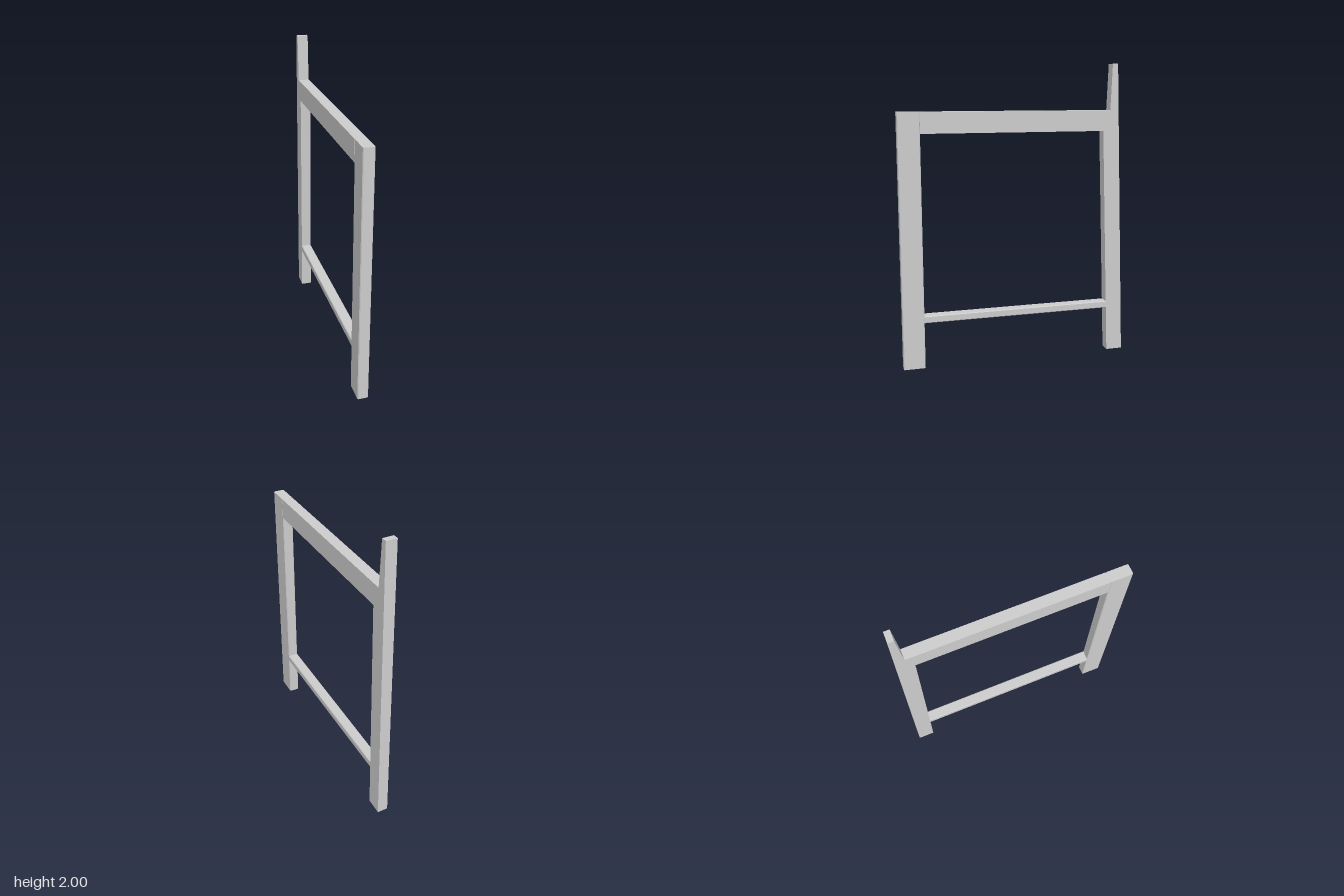
import * as THREE from 'three';

const HALF = 0.036; // half thickness of the whole frame

const material = new THREE.MeshStandardMaterial({ color: 0xcccccc, flatShading: true });

function addPart(group, name, geometry) {
  const mesh = new THREE.Mesh(geometry, material);
  mesh.name = name;
  group.add(mesh);
  return mesh;
}

// Rectangle centred on the origin with small chamfered corners
function chamferedRect(w, h, c) {
  const x = w / 2, y = h / 2;
  return new THREE.Shape([
    [-x + c, -y], [x - c, -y], [x, -y + c], [x, y - c],
    [x - c, y], [-x + c, y], [-x, y - c], [-x, -y + c],
  ].map(([a, b]) => new THREE.Vector2(a, b)));
}

const extrude = (shape, depth) => new THREE.ExtrudeGeometry(shape, { depth, bevelEnabled: false });

export function createModel() {
  const group = new THREE.Group();
  group.name = 'sideFrame';

  // Upright front leg
  const leg = extrude(chamferedRect(2 * HALF, 0.144, 0.005), 1.694);
  leg.rotateX(-Math.PI / 2);
  leg.translate(0, 0, 0.705);
  addPart(group, 'frontLeg', leg);

  // Raked, tapering back leg and top rail in one outline, as (-z, y)
  const outline = new THREE.Shape([
    [0.664, 0], [0.777, 0], [0.698, 2], [0.661, 2],
    [0.65, 1.694], [-0.633, 1.694], [-0.633, 1.556], [0.603, 1.556],
  ].map(([a, b]) => new THREE.Vector2(a, b)));
  const back = extrude(outline, 2 * HALF);
  back.translate(0, 0, -HALF);
  back.rotateY(Math.PI / 2);
  addPart(group, 'backLegAndTopRail', back);

  // Slim lower stretcher
  const bar = extrude(chamferedRect(2 * HALF, 0.048, 0.005), 1.286);
  bar.translate(0, 0.335, -0.652);
  addPart(group, 'lowerStretcher', bar);

  return group;
}
